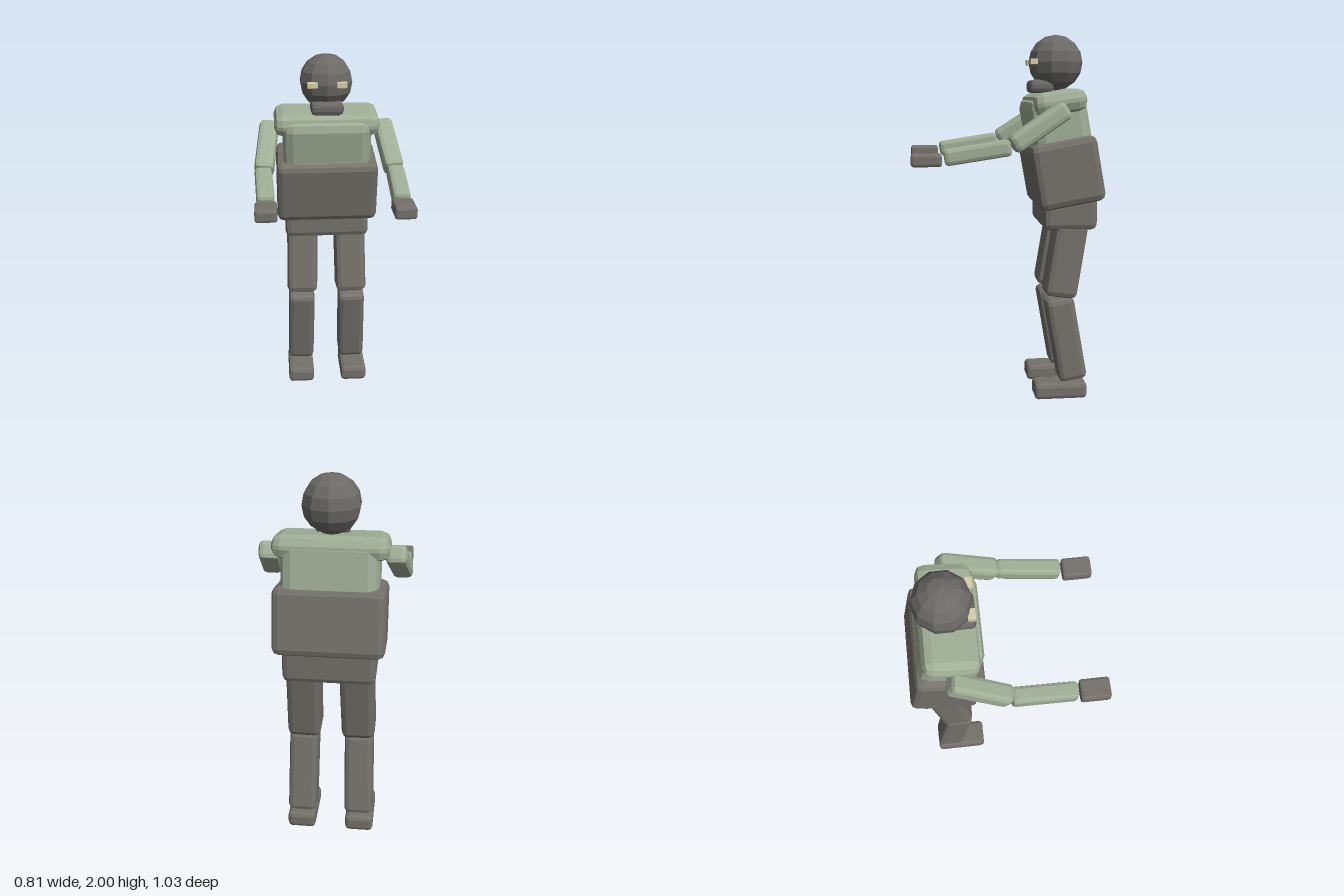
import * as THREE from 'three';
import { RoundedBoxGeometry } from 'three/addons/geometries/RoundedBoxGeometry.js';

export function createModel() {
  const model = new THREE.Group();
  model.name = 'humanoid';

  const material = (name, color) => {
    const m = new THREE.MeshStandardMaterial({ color });
    m.name = name;
    return m;
  };
  const headGrey = material('headGrey', 0x6b6a67);
  const darkGrey = material('darkGrey', 0x75726b);
  const paleGreen = material('paleGreen', 0xa0ae96);
  const cream = material('cream', 0xd6cfa8);

  // Faceted box with bevelled edges
  function block(name, size, bevel, mat) {
    const geometry = new RoundedBoxGeometry(...size, 1, bevel);
    geometry.computeVertexNormals();
    const mesh = new THREE.Mesh(geometry, mat);
    mesh.name = name;
    model.add(mesh);
    return mesh;
  }

  function place(mesh, position, tilt = 0) {
    mesh.position.set(...position);
    mesh.rotation.x = tilt;
  }

  // Block stretched between two joints, its width kept along x
  function limb(name, from, to, width, depth, bevel, mat) {
    const a = new THREE.Vector3(...from);
    const b = new THREE.Vector3(...to);
    const y = a.clone().sub(b);
    const length = y.length();
    y.normalize();
    const z = new THREE.Vector3(1, 0, 0).cross(y).normalize();
    const x = y.clone().cross(z);
    const mesh = block(name, [width, length, depth], bevel, mat);
    mesh.position.copy(a).add(b).multiplyScalar(0.5);
    mesh.quaternion.setFromRotationMatrix(new THREE.Matrix4().makeBasis(x, y, z));
  }

  // Torso, leaning forward above the pelvis
  const lean = 0.18;
  place(block('pelvis', [0.48, 0.2, 0.29], 0.03, darkGrey), [0, 1.055, -0.338]);
  place(block('abdomen', [0.57, 0.352, 0.358], 0.035, darkGrey), [0, 1.265, -0.317], lean);
  place(block('chest', [0.49, 0.36, 0.31], 0.055, paleGreen), [0, 1.5, -0.285], lean);
  place(block('shoulders', [0.585, 0.12, 0.285], 0.05, paleGreen), [0, 1.637, -0.272], lean * 0.8);

  // Head
  const headGeometry = new THREE.SphereGeometry(0.15, 10, 8).rotateY(Math.PI / 2).toNonIndexed();
  headGeometry.computeVertexNormals();
  const head = new THREE.Mesh(headGeometry, headGrey);
  head.name = 'head';
  head.position.set(0, 1.85, -0.285);
  model.add(head);
  place(block('jaw', [0.18, 0.072, 0.13], 0.025, headGrey), [0, 1.721, -0.198]);

  for (const [side, s] of [['left', 1], ['right', -1]]) {
    // Eyes
    place(block(side + 'Eye', [0.056, 0.03, 0.038], 0.002, cream), [s * 0.08, 1.852, -0.152]);

    // Arms, reaching forward
    limb(side + 'UpperArm', [s * 0.318, 1.607, -0.292], [s * 0.353, 1.418, -0.003], 0.105, 0.1, 0.025, paleGreen);
    limb(side + 'Forearm', [s * 0.357, 1.413, 0.002], [s * 0.344, 1.36, 0.343], 0.092, 0.085, 0.02, paleGreen);
    place(block(side + 'Hand', [0.112, 0.064, 0.157], 0.014, darkGrey), [s * 0.343, 1.349, 0.433]);

    // Legs, slightly bent at the knee
    limb(side + 'Thigh', [s * 0.138, 1.034, -0.36], [s * 0.147, 0.58, -0.287], 0.178, 0.177, 0.03, darkGrey);
    limb(side + 'Shin', [s * 0.15, 0.57, -0.284], [s * 0.157, 0.108, -0.366], 0.155, 0.155, 0.027, darkGrey);
    place(block(side + 'Foot', [0.154, 0.09, 0.292], 0.022, darkGrey), [s * 0.161, 0.05, -0.294]);
  }

  return model;
}
